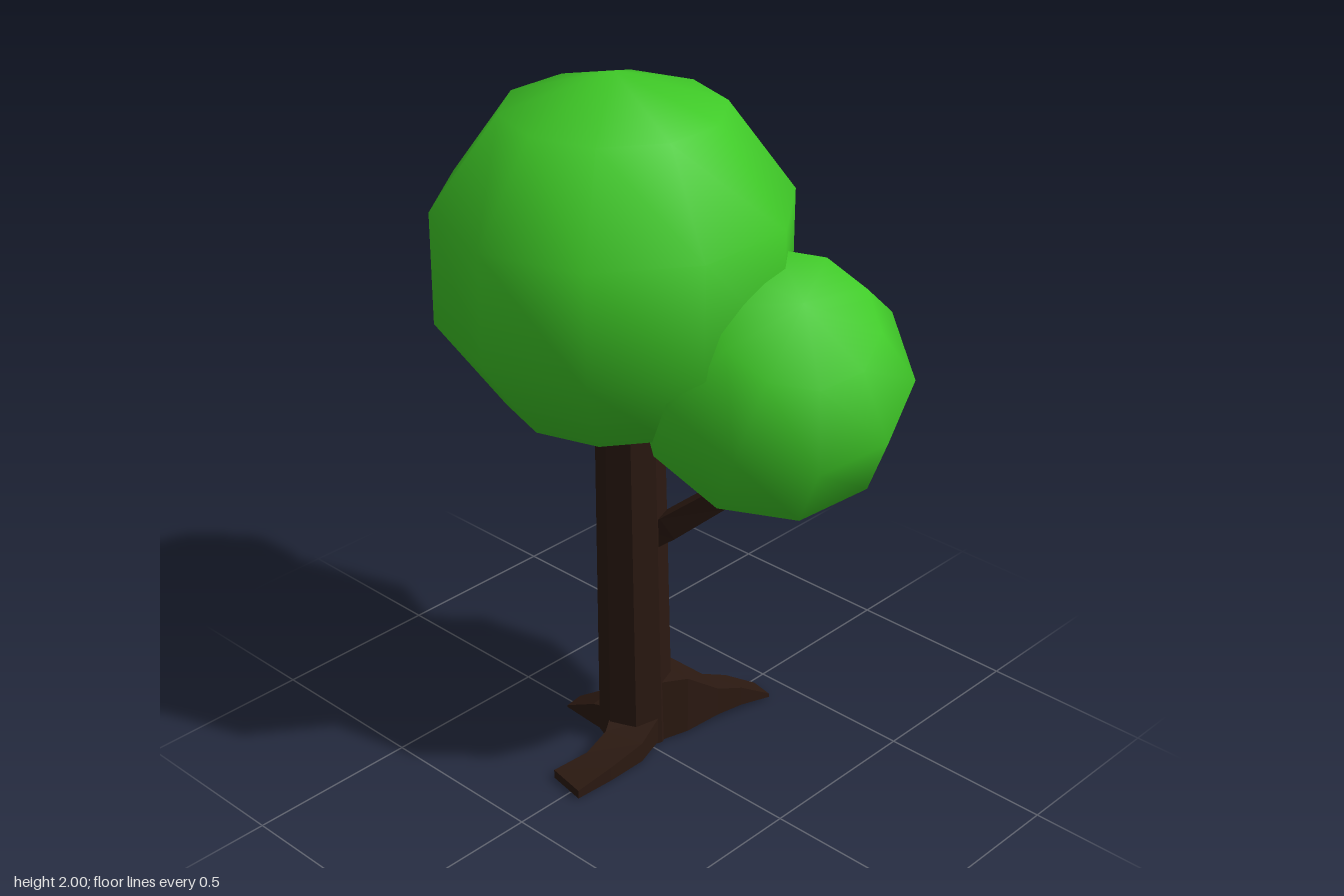
import * as THREE from 'three';

const bark = new THREE.MeshStandardMaterial({ color: 0x2b1911, flatShading: true });
const leaf = new THREE.MeshStandardMaterial({ color: 0x3fc927 });

// Skin a limb through sections [x, y, z, halfWidth, halfHeight]; capped at both ends.
function limb(name, sections, upright) {
  const centres = sections.map(s => new THREE.Vector3(s[0], s[1], s[2]));
  const pos = [], idx = [], n = 4;
  sections.forEach((s, i) => {
    const dir = centres[Math.min(i + 1, centres.length - 1)].clone()
      .sub(centres[Math.max(i - 1, 0)]).normalize();
    const side = new THREE.Vector3(-dir.z, 0, dir.x).normalize();
    const up = upright ? new THREE.Vector3(0, 1, 0) : side.clone().cross(dir).normalize();
    for (const [a, b] of [[-1, -1], [1, -1], [1, 1], [-1, 1]]) {
      const p = centres[i].clone().addScaledVector(side, a * s[3]).addScaledVector(up, b * s[4]);
      pos.push(p.x, p.y, p.z);
    }
  });
  for (let i = 0; i < sections.length - 1; i++) {
    for (let j = 0; j < n; j++) {
      const a = i * n + j, b = i * n + (j + 1) % n;
      idx.push(a, a + n, b, b, a + n, b + n);
    }
  }
  const e = (sections.length - 1) * n;
  idx.push(0, 1, 2, 0, 2, 3, e, e + 2, e + 1, e, e + 3, e + 2);
  const g = new THREE.BufferGeometry();
  g.setAttribute('position', new THREE.Float32BufferAttribute(pos, 3));
  g.setIndex(idx);
  g.computeVertexNormals();
  const m = new THREE.Mesh(g, bark.clone());
  m.material.side = THREE.DoubleSide;
  m.name = name;
  return m;
}

// Faceted ball of leaves
function foliage(name, radius, position, tilt) {
  const g = new THREE.SphereGeometry(radius, 10, 5);
  g.rotateY(Math.PI / 10);
  const m = new THREE.Mesh(g, leaf);
  m.name = name;
  m.position.set(...position);
  m.rotation.set(...tilt);
  return m;
}

export function createModel() {
  const tree = new THREE.Group();
  tree.name = 'tree';

  // Trunk: eight-sided, leaning slightly as it tapers
  const height = 1.2;
  const trunkGeo = new THREE.CylinderGeometry(0.093, 0.105, height, 8);
  trunkGeo.translate(0, height / 2, 0);
  const p = trunkGeo.attributes.position;
  for (let i = 0; i < p.count; i++) {
    const t = p.getY(i) / height;
    p.setX(i, p.getX(i) - 0.084 - 0.012 * t);
    p.setZ(i, p.getZ(i) - 0.036 + 0.012 * t);
  }
  const trunk = new THREE.Mesh(trunkGeo, bark);
  trunk.name = 'trunk';
  tree.add(trunk);

  // Roots spreading over the ground
  tree.add(limb('backRoot', [
    [-0.05, 0.10, -0.07, 0.07, 0.10],
    [-0.01, 0.10, -0.14, 0.06, 0.09],
    [0.02, 0.065, -0.24, 0.045, 0.045],
    [0.04, 0.05, -0.32, 0.04, 0.03],
    [0.06, 0.008, -0.425, 0.035, 0.006],
  ], true));
  tree.add(limb('frontRoot', [
    [-0.05, 0.045, 0.0, 0.07, 0.04],
    [-0.01, 0.035, 0.09, 0.06, 0.03],
    [0.0, 0.028, 0.2, 0.05, 0.022],
    [-0.02, 0.015, 0.31, 0.06, 0.013],
  ], true));
  tree.add(limb('sideRoot', [
    [-0.1, 0.05, -0.03, 0.07, 0.05],
    [-0.19, 0.038, -0.015, 0.055, 0.035],
    [-0.305, 0.004, 0.0, 0.03, 0.003],
  ], true));

  // Branch bending up into the lower crown
  tree.add(limb('branch', [
    [-0.04, 0.66, -0.06, 0.035, 0.035],
    [0.02, 0.71, -0.075, 0.035, 0.035],
    [0.155, 0.83, -0.125, 0.032, 0.032],
    [0.21, 0.98, -0.15, 0.03, 0.03],
  ], false));

  // Small leaf patch on the outer face of the branch
  const patch = new THREE.Mesh(new THREE.BoxGeometry(0.008, 0.09, 0.06), leaf);
  patch.name = 'leafPatch';
  patch.position.set(0.205, 0.865, -0.135);
  patch.rotation.z = -0.35;
  tree.add(patch);

  // Crown
  tree.add(foliage('mainCrown', 0.5, [-0.1, 1.5, 0.02], [0, 0, 0]));
  tree.add(foliage('lowerCrown', 0.365, [0.305, 1.21, -0.15], [0.45, 0.3, -0.5]));
  tree.add(foliage('smallCrown', 0.235, [-0.44, 1.56, -0.165], [-0.3, 0.2, 0.4]));
  return tree;
}
